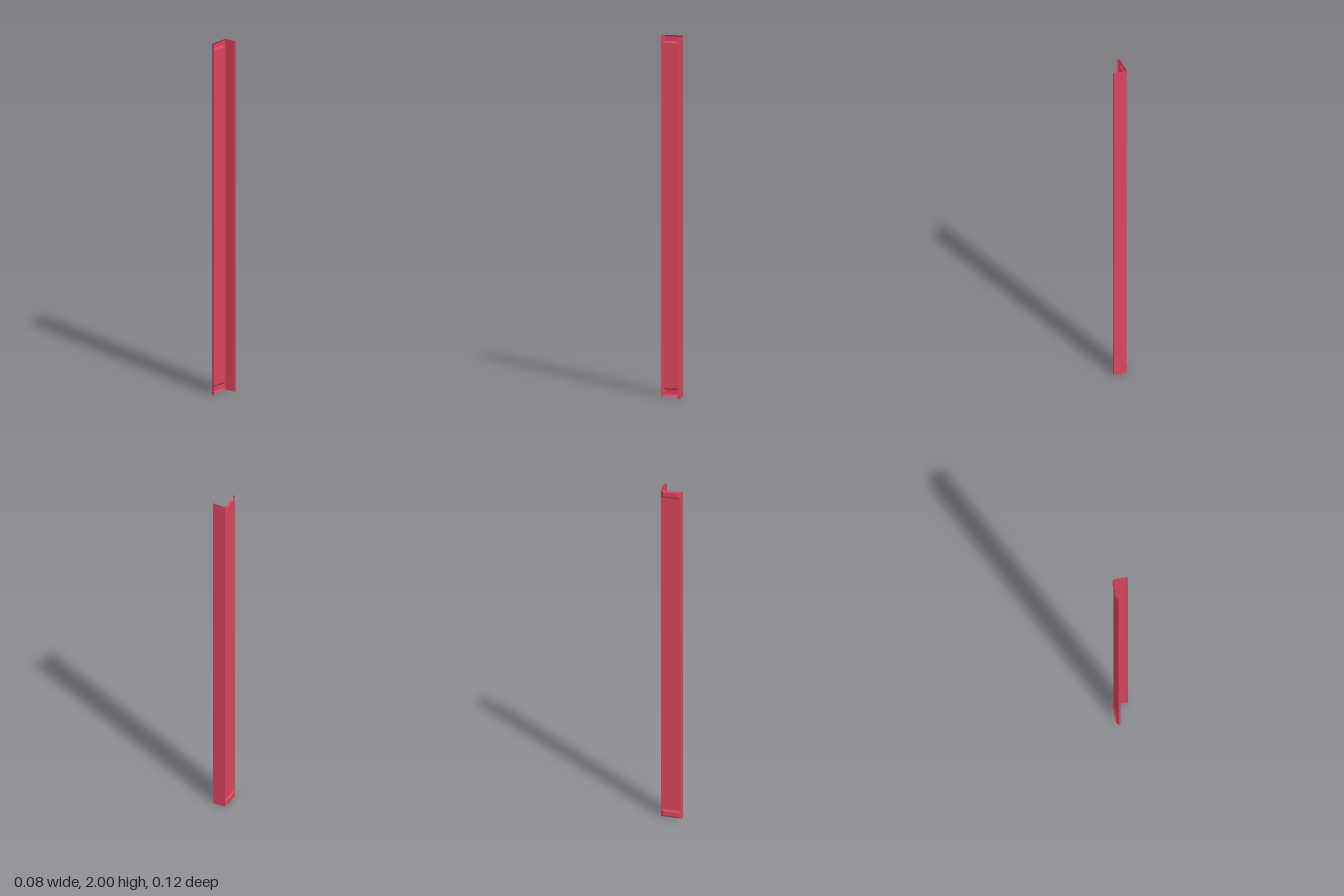
import * as THREE from 'three';

const H = 2;          // full height
const PRESS = 0.045;  // height of the pressed zone at each end
const WALL = -0.036;  // x of the side flange

export function createModel() {
  const group = new THREE.Group();
  const material = new THREE.MeshStandardMaterial({
    color: 0xdb4560, side: THREE.DoubleSide, flatShading: true,
  });

  // Flat sheet faces, each given as four corners
  const sheet = (name, quads) => {
    const positions = [];
    for (const [a, b, c, d] of quads) positions.push(...a, ...b, ...c, ...a, ...c, ...d);
    const geometry = new THREE.BufferGeometry();
    geometry.setAttribute('position', new THREE.Float32BufferAttribute(positions, 3));
    geometry.computeVertexNormals();
    const mesh = new THREE.Mesh(geometry, material);
    mesh.name = name;
    group.add(mesh);
  };

  // Vertical strips following a bent [x, z] section
  const strips = (name, section, y0, y1) => sheet(name, section.slice(1).map(([x, z], i) => {
    const [px, pz] = section[i];
    return [[px, y0, pz], [x, y0, z], [x, y1, z], [px, y1, pz]];
  }));

  // Two flanges at a right angle, each with a folded lip
  strips('sideFlange', [[WALL, 0.052], [WALL, -0.06]], PRESS, H - PRESS);
  strips('frontLip', [[WALL, 0.052], [-0.033, 0.059], [-0.029, 0.06], [-0.021, 0.06]], 0, H);
  strips('backFlange', [[WALL, -0.06], [0.036, -0.06]], 0, H);
  strips('backLip', [[0.036, -0.06], [0.039, -0.057], [0.039, -0.046]], 0, H);

  // Shallow outward pressing with sloped rims at each end of the side flange
  const pressing = (name, y0) => {
    const ring = (x, inset, zBack, zFront) => [
      [x, y0 + inset, zBack], [x, y0 + inset, zFront],
      [x, y0 + PRESS - inset, zFront], [x, y0 + PRESS - inset, zBack],
    ];
    const base = ring(WALL, 0, -0.06, 0.052);
    const face = ring(-0.044, 0.01, -0.048, 0.04);
    const rims = base.map((p, i) => [p, base[(i + 1) % 4], face[(i + 1) % 4], face[i]]);
    sheet(name, [...rims, face]);
  };
  pressing('lowerPressing', 0);
  pressing('upperPressing', H - PRESS);

  return group;
}
